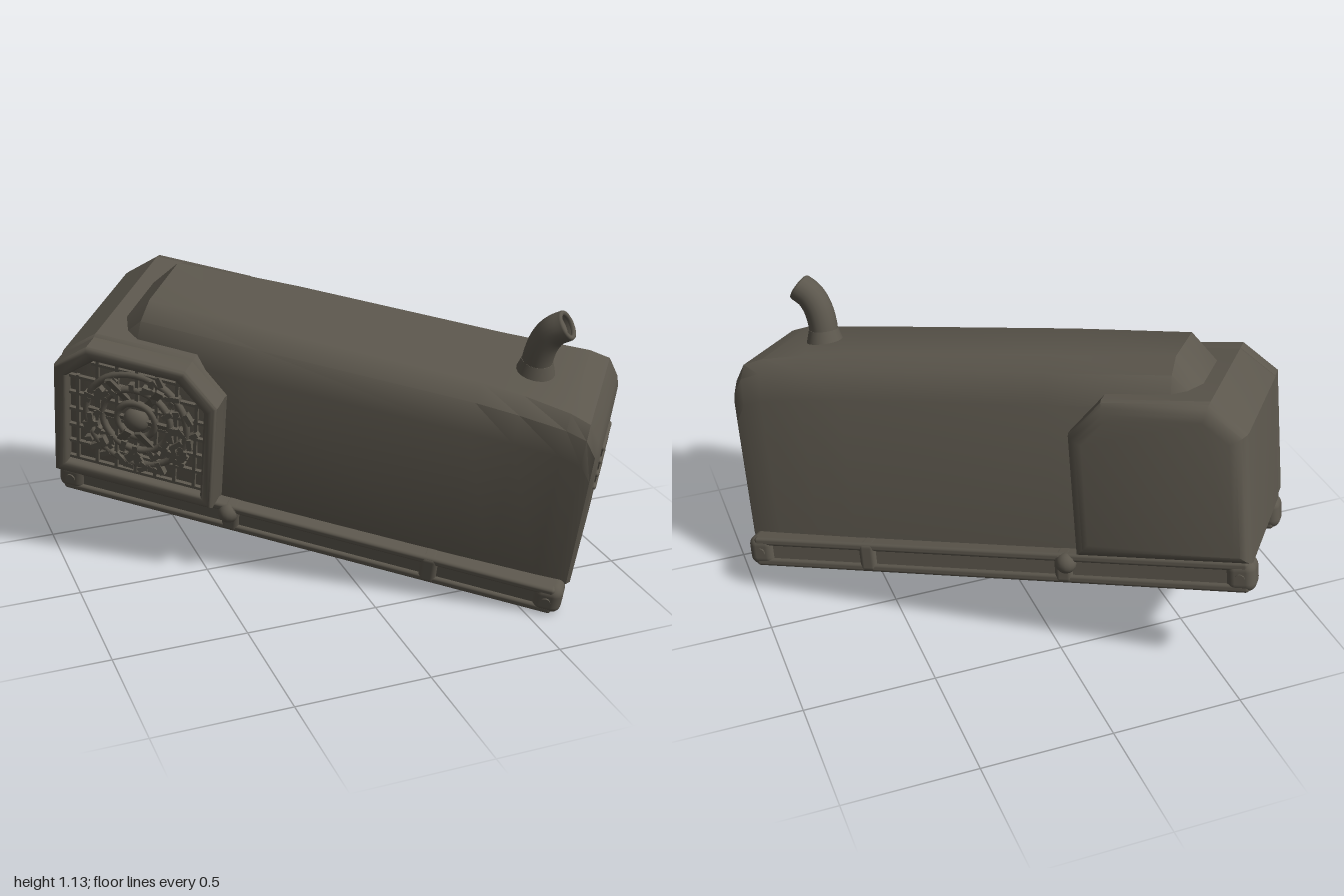
import * as THREE from 'three';
import { toCreasedNormals } from 'three/addons/utils/BufferGeometryUtils.js';
import { RoundedBoxGeometry } from 'three/addons/geometries/RoundedBoxGeometry.js';

const paint = new THREE.MeshStandardMaterial({ color: 0x5c574d, side: THREE.DoubleSide });
paint.name = 'olive grey paint';

const MID = -0.083; // middle of the machine across its width

function add(parent, name, geometry, x = 0, y = 0, z = 0) {
  const mesh = new THREE.Mesh(geometry, paint);
  mesh.name = name;
  mesh.position.set(x, y, z);
  parent.add(mesh);
  return mesh;
}

// Hood skin lofted through cross-sections along its length
function hoodGeometry() {
  // along, half width at base, roof height, roof half width
  const sections = [
    [-0.87, 0.26, 0.87, 0.13], [-0.76, 0.285, 0.995, 0.145], [-0.3, 0.292, 1.0, 0.165],
    [0.5, 0.288, 1.0, 0.175], [0.66, 0.284, 0.995, 0.19], [0.83, 0.28, 0.985, 0.215],
    [0.905, 0.276, 0.965, 0.225], [0.945, 0.268, 0.9, 0.225], [0.957, 0.25, 0.865, 0.215],
  ];
  const positions = [], index = [];
  const n = 8;
  for (const [u, b, top, r] of sections) {
    const half = [[b - 0.008, 0.27], [b - 0.005, top - 0.15], [(b + r) / 2 + 0.012, top - 0.045], [r, top]];
    for (const [w, v] of half) positions.push(u, v, MID + w);
    for (const [w, v] of [...half].reverse()) positions.push(u, v, MID - w);
  }
  for (let i = 0; i < sections.length - 1; i++) {
    for (let j = 0; j < n; j++) {
      const a = i * n + j, b = i * n + (j + 1) % n;
      index.push(a, a + n, b, b, a + n, b + n);
    }
  }
  const last = (sections.length - 1) * n;
  for (let j = 1; j < n - 1; j++) {
    index.push(0, j, j + 1);
    index.push(last, last + j + 1, last + j);
  }
  const g = new THREE.BufferGeometry();
  g.setAttribute('position', new THREE.Float32BufferAttribute(positions, 3));
  g.setIndex(index);
  return toCreasedNormals(g, 0.7);
}

// Side outline of the fan housing, shrunk by an inset
function housingOutline(inset, PathType) {
  const c = 0.13 - inset * 0.4;
  const l = -1.043 + inset, r = -0.395 - inset, b = 0.29 + inset, t = 0.89 - inset;
  const pts = [[l, b], [r, b], [r, t - c], [r - c, t], [l + c, t], [l, t - c * 0.85]];
  return new PathType(pts.map(([x, y]) => new THREE.Vector2(x, y)));
}

function extrude(shape, depth, bevel) {
  const g = new THREE.ExtrudeGeometry(shape, {
    depth: depth - 2 * bevel, bevelEnabled: true, bevelThickness: bevel,
    bevelSize: bevel, bevelOffset: -bevel, bevelSegments: 4,
  });
  g.translate(0, 0, bevel);
  return toCreasedNormals(g, 0.7);
}

function buildGrille(parent) {
  const grille = new THREE.Group();
  grille.name = 'fanGrille';
  grille.position.set(-0.72, 0.6, 0.272);
  parent.add(grille);
  for (const r of [0.075, 0.135, 0.2]) add(grille, 'grilleRing', new THREE.TorusGeometry(r, 0.014, 8, 40));
  const hub = add(grille, 'fanHub', new THREE.SphereGeometry(0.05, 20, 14));
  hub.scale.z = 0.7;
  for (let i = 0; i < 6; i++) {
    const a = i * Math.PI / 3;
    const blade = add(grille, 'fanBlade', new THREE.BoxGeometry(0.17, 0.03, 0.012), Math.cos(a) * 0.12, Math.sin(a) * 0.12, 0);
    blade.rotation.set(0.4, 0, a);
  }
  for (let i = -3; i <= 3; i++) {
    const outer = Math.abs(i) === 3;
    add(grille, 'grilleUpright', new THREE.BoxGeometry(0.012, outer ? 0.38 : 0.48, 0.016), i * 0.078, outer ? -0.05 : -0.01, -0.005);
    add(grille, 'grilleBar', new THREE.BoxGeometry(i === 3 ? 0.36 : 0.54, 0.012, 0.016), 0, i * 0.075 - 0.02, -0.005);
  }
  // Uneven lumps caught in the mesh
  let seed = 7;
  const rnd = () => (seed = (seed * 16807) % 2147483647) / 2147483647;
  for (let i = 0; i < 80; i++) {
    const a = rnd() * Math.PI * 2, r = 0.14 + rnd() * 0.1;
    const lump = add(grille, 'grilleLump', new THREE.BoxGeometry(0.02 + rnd() * 0.04, 0.02, 0.025), Math.cos(a) * r, Math.sin(a) * r * 0.92, 0.002);
    lump.rotation.z = rnd() * 3;
  }
}

// Skid rail: web between two flanges, with collars and round ends
function buildRail(parent, side) {
  const rail = new THREE.Group();
  rail.name = side > 0 ? 'rightSkid' : 'leftSkid';
  rail.position.set(0, 0.23, MID + side * 0.285);
  parent.add(rail);
  add(rail, 'skidWeb', new THREE.BoxGeometry(1.94, 0.09, 0.08), -0.055);
  for (const y of [-0.043, 0.043])
    add(rail, 'skidFlange', new RoundedBoxGeometry(1.94, 0.032, 0.105, 2, 0.012), -0.055, y, 0);
  for (const x of [-0.34, 0.44])
    add(rail, 'skidCollar', new RoundedBoxGeometry(0.07, 0.12, 0.11, 2, 0.02), x, 0, 0);
  add(rail, 'skidLug', new THREE.SphereGeometry(0.04, 14, 10), -0.35, 0.02, side * 0.04);
  for (const x of [-0.995, 0.89]) {
    const end = add(rail, 'skidEnd', new RoundedBoxGeometry(0.11, 0.118, 0.11, 4, 0.035), x, 0, 0);
    const bolt = add(end, 'skidBolt', new THREE.CylinderGeometry(0.018, 0.018, 0.012, 12), 0, 0, side * 0.055);
    bolt.rotation.x = Math.PI / 2;
  }
}

function buildExhaust(parent) {
  const path = new THREE.CatmullRomCurve3([[0.665, 0.96], [0.667, 1.07], [0.68, 1.13], [0.705, 1.175], [0.742, 1.205]]
    .map(([x, y]) => new THREE.Vector3(x, y, -0.07)));
  add(parent, 'exhaustPipe', new THREE.TubeGeometry(path, 24, 0.056, 18));
  add(parent, 'exhaustBase', new THREE.CylinderGeometry(0.057, 0.075, 0.06, 20), 0.665, 1.01, -0.07);
  const rim = add(parent, 'exhaustRim', new THREE.TorusGeometry(0.047, 0.009, 8, 20));
  rim.position.copy(path.getPoint(1));
  const dir = path.getTangent(1);
  rim.quaternion.setFromUnitVectors(new THREE.Vector3(0, 0, 1), dir);
  const plug = add(parent, 'exhaustInside', new THREE.CircleGeometry(0.054, 18));
  plug.position.copy(path.getPoint(0.87));
  plug.quaternion.copy(rim.quaternion);
}

export function createModel() {
  const model = new THREE.Group();
  model.name = 'generator';
  const unit = new THREE.Group();
  unit.name = 'tiltedUnit';
  model.add(unit);

  add(unit, 'hood', hoodGeometry());

  // Fan housing around the rear, with a framed opening on one side
  add(unit, 'fanHousing', extrude(housingOutline(0, THREE.Shape), 0.725, 0.06), 0, 0, -0.465);
  const frame = housingOutline(0.004, THREE.Shape);
  frame.holes.push(housingOutline(0.055, THREE.Path));
  add(unit, 'grilleFrame', extrude(frame, 0.135, 0.018), 0, 0, 0.172);
  buildGrille(unit);

  // Front louvres
  for (let i = 0; i < 4; i++) {
    const slat = add(unit, 'ventSlat', new RoundedBoxGeometry(0.022, 0.018, 0.18, 2, 0.008), 0.957, 0.59 + i * 0.06, -0.095);
    slat.rotation.z = 0.3;
  }
  for (const w of [-0.15, -0.04])
    add(unit, 'ventPost', new THREE.BoxGeometry(0.012, 0.2, 0.014), 0.956, 0.68, w);

  buildExhaust(unit);

  // Skid frame
  for (const side of [-1, 1]) buildRail(unit, side);
  for (const u of [-0.93, -0.34, 0.44, 0.84]) {
    const bar = add(unit, 'crossBar', new THREE.CylinderGeometry(0.035, 0.035, 0.56, 14), u, 0.235, MID);
    bar.rotation.x = Math.PI / 2;
  }

  // Tilt and turn the whole unit
  const along = new THREE.Vector3(0.797, -0.14, 0.587).normalize();
  const across = new THREE.Vector3(-0.602, -0.181, 0.778);
  across.addScaledVector(along, -across.dot(along)).normalize();
  const up = new THREE.Vector3().crossVectors(across, along);
  unit.quaternion.setFromRotationMatrix(new THREE.Matrix4().makeBasis(along, up, across));

  // Centre it and rest it on the ground
  model.updateMatrixWorld(true);
  const box = new THREE.Box3().setFromObject(model, true);
  const mid = box.getCenter(new THREE.Vector3());
  unit.position.set(-mid.x, -box.min.y, -mid.z);
  return model;
}
